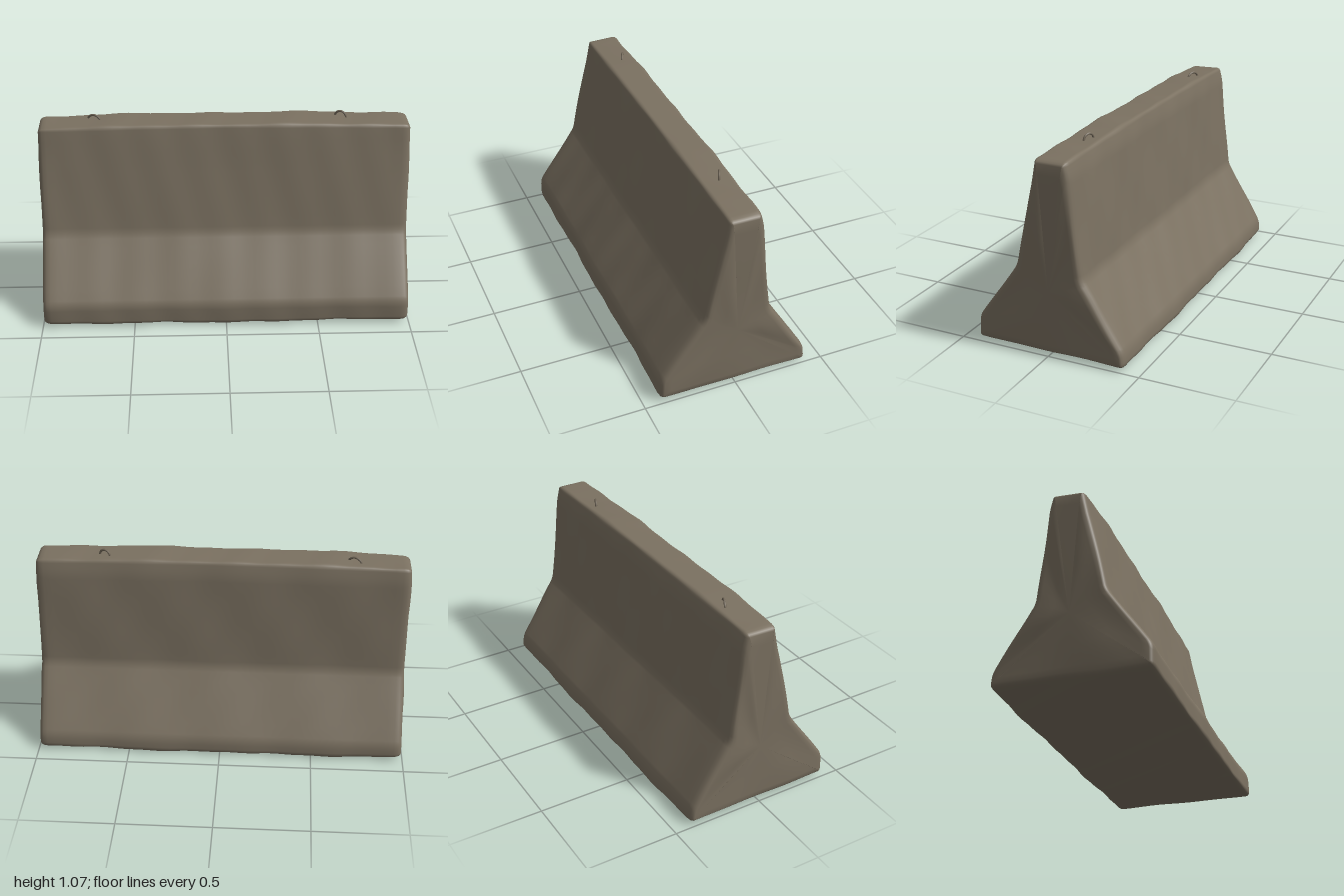
import * as THREE from 'three';

const concrete = new THREE.MeshStandardMaterial({ color: 0x7b7161 });
concrete.name = 'concrete';
const steel = new THREE.MeshStandardMaterial({ color: 0x746a5b });
steel.name = 'weatheredSteel';

// Barrier outline as [z, y, corner rounding], anticlockwise seen from +x
const corners = [
  [0.41, 0.016, 0.025], [-0.412, 0.008, 0.03], [-0.402, 0.09, 0.03], [-0.185, 0.435, 0.03],
  [-0.133, 0.96, 0.03], [-0.113, 1.04, 0.02], [0.06, 1.04, 0.02], [0.18, 0.46, 0.03], [0.405, 0.135, 0.03],
];

// Rounds every corner and divides the straight runs between them
function makeProfile() {
  const at = (i) => new THREE.Vector2(...corners[(i + corners.length) % corners.length].slice(0, 2));
  const points = [];
  corners.forEach(([, , r], i) => {
    const p = at(i);
    const from = at(i - 1).sub(p).setLength(r).add(p);
    const to = at(i + 1).sub(p).setLength(r).add(p);
    points.push(...new THREE.QuadraticBezierCurve(from, p, to).getPoints(4));
    const next = at(i + 1);
    const end = at(i).sub(next).setLength(corners[(i + 1) % corners.length][2]).add(next);
    const steps = Math.max(1, Math.round(to.distanceTo(end) / 0.06));
    for (let k = 1; k < steps; k++) points.push(to.clone().lerp(end, k / steps));
  });
  return points;
}

// Gentle unevenness of the cast surface
const wobble = (x, y, z) =>
  0.0025 * Math.sin(7 * x + 5 * y + 2 * z) + 0.002 * Math.sin(13 * x - 9 * y + 8 * z)
  + 0.0015 * Math.sin(27 * x + 17 * z + 11 * y);

function barrierGeometry() {
  const profile = makeProfile();
  const n = profile.length;
  const normals = profile.map((_, j) => {
    const d = profile[(j + 1) % n].clone().sub(profile[(j + n - 1) % n]);
    return new THREE.Vector2(-d.y, d.x).normalize();
  });

  // Stations along the length: [x, inset, scale], rounded over at both ends
  const ends = [[0.993, 0.024, 0.5], [0.994, 0.024, 0.92], [0.992, 0.02, 1], [0.985, 0.01, 1], [0.972, 0.003, 1]];
  const stations = ends.map(([x, inset, s]) => [-x, inset, s]);
  for (let i = 0; i <= 48; i++) stations.push([-0.95 + 1.9 * i / 48, 0, 1]);
  stations.push(...ends.slice().reverse());

  const positions = [], index = [];
  for (const [x, inset, s] of stations) {
    profile.forEach((p, j) => {
      const shift = wobble(x, p.y, p.x) - inset;
      const z = p.x + normals[j].x * shift;
      let y = p.y + normals[j].y * shift;
      // crest and underside swell slightly towards the middle
      y += (p.y > 0.9 ? 0.007 : 0) * (1 - 2 * x * x);
      y += p.y < 0.05 ? 0.006 * (x * x - 0.4) : 0;
      positions.push(x + (s === 1 ? 0 : 0.004 * Math.sin(9 * y + 6 * z) * Math.sign(x)),
        0.35 + (y - 0.35) * s, -0.005 + (z + 0.005) * s);
    });
  }
  for (let i = 0; i < stations.length - 1; i++) {
    for (let j = 0; j < n; j++) {
      const a = i * n + j, b = i * n + (j + 1) % n;
      index.push(a, b, b + n, a, b + n, a + n);
    }
  }
  // Close the two ends
  const left = positions.length / 3, right = left + 1, last = (stations.length - 1) * n;
  positions.push(-0.994, 0.35, -0.005, 0.994, 0.35, -0.005);
  for (let j = 0; j < n; j++) {
    const k = (j + 1) % n;
    index.push(k, j, left, last + j, last + k, right);
  }
  const g = new THREE.BufferGeometry();
  g.setAttribute('position', new THREE.Float32BufferAttribute(positions, 3));
  g.setIndex(index);
  g.computeVertexNormals();
  return g;
}

// Bent bar loop for lifting, half buried at its feet
function liftingLoop(x, width, top) {
  const w = width / 2;
  const path = new THREE.CatmullRomCurve3([
    [-w, 1.015], [-w, 1.04], [-w * 0.65, top - 0.008], [0, top], [w * 0.65, top - 0.008], [w, 1.04], [w, 1.015],
  ].map(([px, py]) => new THREE.Vector3(px, py, 0)));
  const loop = new THREE.Mesh(new THREE.TubeGeometry(path, 24, 0.006, 8), steel);
  loop.position.set(x, 0, -0.05);
  loop.rotation.y = -0.42;
  return loop;
}

export function createModel() {
  const model = new THREE.Group();
  model.name = 'concreteBarrier';

  const body = new THREE.Mesh(barrierGeometry(), concrete);
  body.name = 'barrierBody';
  model.add(body);

  const rightLoop = liftingLoop(-0.697, 0.07, 1.062);
  rightLoop.name = 'rightLiftingLoop';
  const leftLoop = liftingLoop(0.627, 0.062, 1.068);
  leftLoop.name = 'leftLiftingLoop';
  model.add(rightLoop, leftLoop);
  return model;
}
